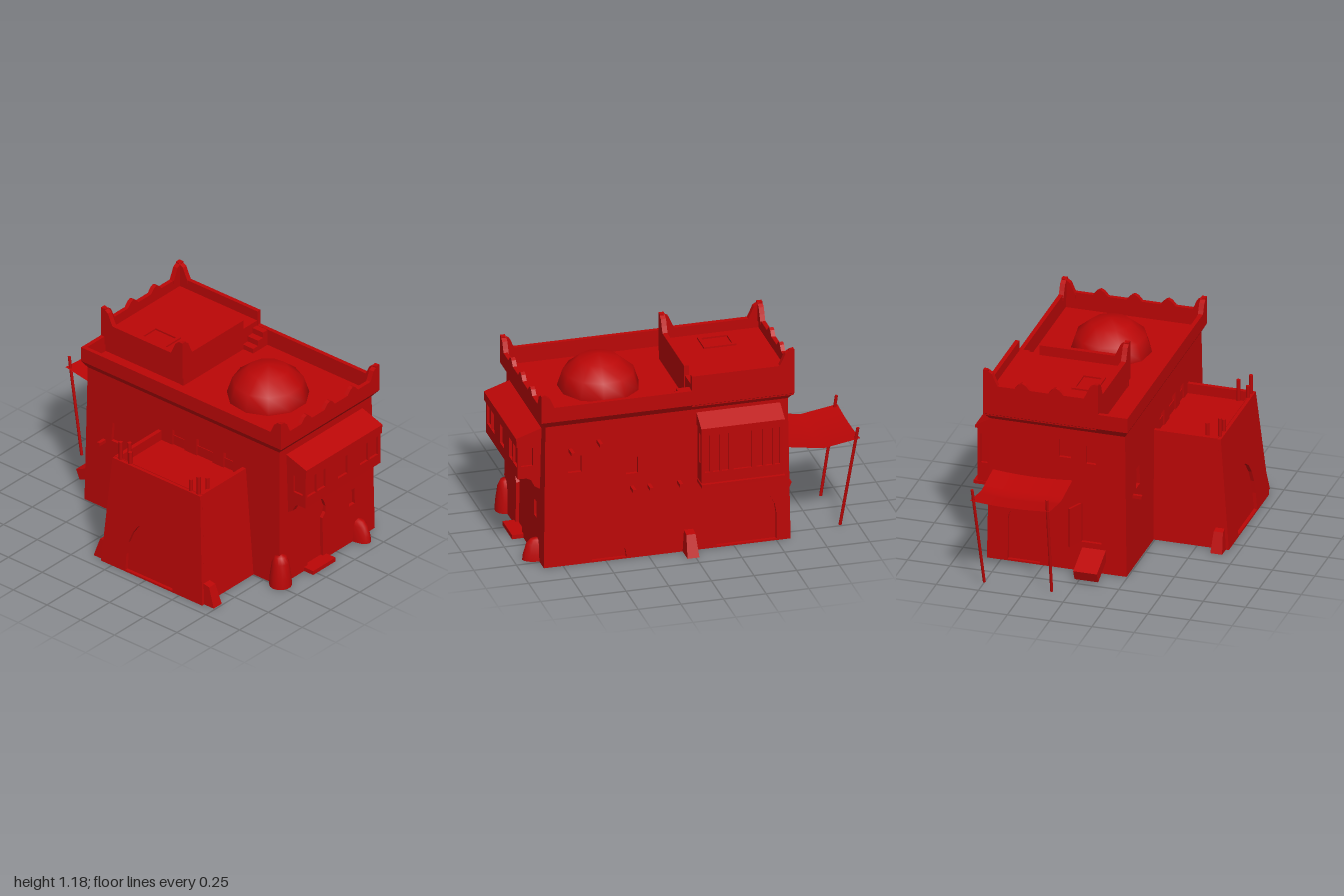
import * as THREE from 'three';

const red = new THREE.MeshStandardMaterial({ color: 0xba0606, side: THREE.DoubleSide });

function add(parent, name, geometry) {
  const mesh = new THREE.Mesh(geometry, red);
  mesh.name = name;
  parent.add(mesh);
  return mesh;
}
const box = (x0, x1, y0, y1, z0, z1) =>
  new THREE.BoxGeometry(x1 - x0, y1 - y0, z1 - z0).translate((x0 + x1) / 2, (y0 + y1) / 2, (z0 + z1) / 2);
const toPoints = (pts) => pts.map(([a, b]) => new THREE.Vector2(a, b));

// Plate in the xy plane with its face at z, thickness going back
function plate(pts, holes, depth, z = 0) {
  const shape = new THREE.Shape(toPoints(pts));
  for (const h of holes) shape.holes.push(new THREE.Path(toPoints(h)));
  return new THREE.ExtrudeGeometry(shape, { depth, bevelEnabled: false }).translate(0, 0, z - depth);
}
// Lean a plate backwards as it rises
function lean(geometry, slope) {
  const p = geometry.attributes.position;
  for (let i = 0; i < p.count; i++) p.setZ(i, p.getZ(i) - slope * p.getY(i));
  geometry.computeVertexNormals();
  return geometry;
}
// Side profile of [z, y] points, swept along x
function prism(pts, x0, x1) {
  return new THREE.ExtrudeGeometry(new THREE.Shape(toPoints(pts)), { depth: x1 - x0, bevelEnabled: false })
    .rotateY(-Math.PI / 2).translate(x1, 0, 0);
}
// Skin through rectangles [x0, x1, z0, z1, y]; sides 0-3 are front, right, back, left
function rectLoft(sections, sides = [0, 1, 2, 3]) {
  const pos = [];
  const ring = ([x0, x1, z0, z1, y]) => [[x0, y, z1], [x1, y, z1], [x1, y, z0], [x0, y, z0]];
  for (let i = 0; i + 1 < sections.length; i++) {
    const a = ring(sections[i]), b = ring(sections[i + 1]);
    for (const k of sides) {
      const n = (k + 1) % 4;
      pos.push(...a[k], ...a[n], ...b[n], ...a[k], ...b[n], ...b[k]);
    }
  }
  const g = new THREE.BufferGeometry();
  g.setAttribute('position', new THREE.Float32BufferAttribute(pos, 3));
  g.computeVertexNormals();
  return g;
}
// Openings
const rect = (u0, u1, y0, y1, slant = 0) => [[u0, y0], [u1, y0], [u1 - slant, y1], [u0 + slant, y1]];
function arch(u0, u1, y0, spring, top) {
  const pts = [[u0, y0], [u1, y0]];
  for (let i = 0; i <= 10; i++) {
    const a = (Math.PI * i) / 10;
    pts.push([(u0 + u1) / 2 + ((u1 - u0) / 2) * Math.cos(a), spring + (top - spring) * Math.sin(a)]);
  }
  return pts;
}
// Wedge buttress with a steep front, narrowing slightly towards its top
function buttress(w, h, d) {
  const g = prism([[-0.05, 0], [d, 0], [d * 0.55, h * 0.92], [0, h], [-0.05, h]], -w / 2, w / 2);
  const p = g.attributes.position;
  for (let i = 0; i < p.count; i++) p.setX(i, p.getX(i) * (1 - (0.25 * p.getY(i)) / h));
  g.computeVertexNormals();
  return g;
}
// Rounded, cone-like buttress
const mound = (r, h) => new THREE.LatheGeometry(
  toPoints([[r, 0], [r * 0.95, h * 0.3], [r * 0.76, h * 0.75], [r * 0.5, h * 0.94], [0, h]]), 14);
// Curved horn standing on both walls of a parapet corner
function horn(parent, x, y, z, sx, sz) {
  const profile = [[0, -0.02], [0.085, -0.02], [0.085, 0], [0.068, 0.035], [0.052, 0.072], [0.022, 0.09], [0, 0.094]];
  const t = 0.03;
  add(parent, 'cornerHorn', plate(profile.map(([a, b]) => [x + sx * a, y + b]), [], t, sz > 0 ? z + t : z));
  add(parent, 'cornerHorn', prism(profile.map(([a, b]) => [z + sz * a, y + b]), Math.min(x, x + sx * t), Math.max(x, x + sx * t)));
}
function merlon(parent, x, y, z) {
  add(parent, 'merlon', prism([[z - 0.05, y - 0.01], [z + 0.05, y - 0.01], [z + 0.045, y], [z + 0.02, y + 0.028], [z, y + 0.038], [z - 0.02, y + 0.028], [z - 0.045, y]], x, x + 0.025));
}
// Closed balcony on a wall whose face lies at z = f
function balcony(parent, f, u0, u1, y0, eave, top, depth, windows, sideWin) {
  const g = new THREE.Group();
  g.name = 'enclosedBalcony';
  add(g, 'balconyFront', plate(rect(u0, u1, y0, eave), windows, 0.02, f + depth));
  add(g, 'balconyCore', box(u0 + 0.015, u1 - 0.015, y0, eave, f - 0.02, f + depth - 0.015));
  for (const u of [u0, u1 - 0.02])
    add(g, 'balconySide', plate(rect(f - 0.02, f + depth, y0, eave), [sideWin], 0.02)
      .rotateY(-Math.PI / 2).translate(u, 0, 0));
  add(g, 'balconyRoof', prism([[f - 0.02, top], [f, top], [f + depth + 0.012, eave], [f + depth + 0.012, eave - 0.015], [f - 0.02, eave - 0.015]], u0 - 0.005, u1 + 0.005));
  parent.add(g);
}
// Slightly battered house wall
const BATTER = 0.013;
function wall(parent, name, turn, f, u0, u1, holes) {
  const g = new THREE.Group();
  g.name = name;
  g.rotation.y = turn;
  const outline = [[u0 - BATTER, 0], [u1 + BATTER, 0], [u1, 0.88], [u0, 0.88]];
  add(g, name + 'Face', lean(plate(outline, holes, 0.022, f + BATTER), BATTER / 0.88));
  parent.add(g);
  return g;
}

export function createModel() {
  const model = new THREE.Group();
  model.name = 'adobeHouse';

  // Hollow core behind the wall openings, joined to the annex
  const annexOpening = rect(-0.05, 0.61, 0.005, 0.57);
  add(model, 'core', rectLoft([[-0.563, 0.843, -0.563, 0.223, 0], [-0.55, 0.83, -0.55, 0.21, 0.88]], [1, 2, 3]));
  add(model, 'coreFront', lean(plate([[-0.563, 0], [0.843, 0], [0.83, 0.88], [-0.55, 0.88]], [annexOpening], 0.002, 0.223), BATTER / 0.88));

  // Front wall
  const front = wall(model, 'frontWall', 0, 0.23, -0.57, 0.85, [
    annexOpening, rect(-0.39, -0.31, 0.46, 0.58, 0.008), rect(0.06, 0.15, 0.6, 0.71), rect(0.24, 0.36, 0.6, 0.72), rect(0.44, 0.51, 0.6, 0.71)]);
  add(front, 'beamEnd', box(-0.45, -0.43, 0.43, 0.45, 0.215, 0.29));

  // Right wall: keyhole door, step, window, balcony on brackets
  const keyhole = [[0, 0.01], [0.135, 0.01], [0.135, 0.27], [0.16, 0.3], [0.162, 0.34], [0.145, 0.385], [0.11, 0.42],
    [0.07, 0.44], [0.03, 0.42], [-0.005, 0.385], [-0.025, 0.34], [-0.022, 0.3], [0, 0.27]];
  const right = wall(model, 'rightWall', Math.PI / 2, 0.85, -0.23, 0.57, [keyhole, rect(0.365, 0.415, 0.24, 0.34, 0.004)]);
  add(right, 'doorStep', box(-0.03, 0.165, 0, 0.025, 0.845, 0.93));
  balcony(right, 0.85, -0.165, 0.485, 0.525, 0.78, 0.83, 0.138,
    [[-0.145, -0.07], [-0.06, 0.01], [0.12, 0.2], [0.31, 0.38], [0.39, 0.465]].map(([a, b]) => rect(a, b, 0.59, 0.71)),
    rect(0.9, 0.97, 0.6, 0.71));
  add(right, 'balconyEave', box(-0.17, 0.49, 0.725, 0.78, 0.9, 0.998));
  for (const u of [-0.145, 0.05, 0.275, 0.465])
    add(right, 'bracket', prism([[0.835, 0.45], [0.86, 0.45], [0.89, 0.47], [0.91, 0.51], [0.95, 0.53], [0.835, 0.53]], u - 0.016, u + 0.016));
  const sideMound = add(right, 'buttress', mound(0.05, 0.13));
  sideMound.position.set(0.44, 0, 0.855);
  sideMound.scale.z = 1.9;

  // Back wall: two arches, windows, beams, tall balcony
  const back = wall(model, 'backWall', Math.PI, 0.57, -0.85, 0.57, [
    arch(0.15, 0.5, 0.01, 0.17, 0.35), arch(-0.58, -0.38, 0.01, 0.03, 0.12),
    rect(-0.72, -0.64, 0.57, 0.67), rect(-0.38, -0.31, 0.52, 0.62)]);
  const slats = [0.07, 0.125, 0.18, 0.38, 0.435, 0.49].map((u) => rect(u - 0.02, u + 0.02, 0.51, 0.74));
  balcony(back, 0.57, 0.04, 0.52, 0.44, 0.79, 0.85, 0.09, [...slats, rect(0.225, 0.335, 0.51, 0.74)], rect(0.6, 0.64, 0.56, 0.74));
  add(back, 'balconyBase', box(0.035, 0.525, 0.425, 0.445, 0.56, 0.68));
  for (const [x, y] of [[0.705, 0.71], [0.54, 0.745], [0.345, 0.435], [0.245, 0.435], [0.07, 0.435]])
    add(back, 'beamEnd', box(-x - 0.01, -x + 0.01, y - 0.01, y + 0.01, 0.555, 0.635));
  add(back, 'buttress', buttress(0.07, 0.135, 0.115)).position.set(-0.015, 0, 0.57);

  // Left wall: windows, hatch with open shutter over a trough, doorway under the awning
  const left = wall(model, 'leftWall', -Math.PI / 2, 0.57, -0.57, 0.23, [
    rect(-0.16, -0.09, 0.69, 0.8), rect(0, 0.06, 0.67, 0.78), rect(-0.025, 0.095, 0.18, 0.42), arch(-0.46, -0.27, 0.01, 0.26, 0.35)]);
  const shutter = add(left, 'openShutter', box(-0.006, 0.006, 0.18, 0.42, 0, 0.1));
  shutter.position.set(-0.03, 0, 0.575);
  shutter.rotation.y = -0.42;
  const trough = add(model, 'leaningTrough', box(-0.1, 0.1, -0.033, 0.033, -0.07, 0.07));
  trough.position.set(-0.645, 0.083, 0.05);
  trough.rotation.z = 0.4;

  // Awning: sagging cloth on two leaning poles
  const cloth = new THREE.PlaneGeometry(0.43, 0.47, 8, 6).rotateX(-Math.PI / 2);
  const cp = cloth.attributes.position;
  for (let i = 0; i < cp.count; i++) {
    const u = cp.getX(i) / 0.215, v = cp.getZ(i) / 0.235;
    cp.setY(i, -0.035 * (1 - Math.abs(u)) - 0.012 * (1 - v * v));
  }
  cloth.computeVertexNormals();
  add(model, 'awningCloth', cloth).position.set(-0.785, 0.555, -0.315);
  for (const [z, tilt] of [[-0.52, -0.07], [-0.1, 0]]) {
    const pole = add(model, 'awningPole', new THREE.CylinderGeometry(0.009, 0.009, 0.62, 6));
    pole.position.set(-0.943, 0.313, z);
    pole.rotation.set(tilt, 0, 0.15);
  }

  add(model, 'cornerButtress', mound(0.065, 0.2)).position.set(0.855, 0, 0.225);

  // Cornice, parapet and roof floor
  add(model, 'parapet', rectLoft([
    [-0.57, 0.85, -0.57, 0.23, 0.87], [-0.6, 0.883, -0.6, 0.253, 0.91], [-0.6, 0.883, -0.6, 0.253, 1],
    [-0.575, 0.858, -0.575, 0.228, 1], [-0.575, 0.858, -0.575, 0.228, 0.9], [0.1, 0.1, -0.2, -0.2, 0.9]]));
  horn(model, 0.883, 0.985, 0.253, -1, -1);
  horn(model, 0.883, 0.985, -0.6, -1, 1);
  for (const z of [0.03, -0.17, -0.37]) merlon(model, 0.858, 1, z);

  // Raised roof room with its own parapet, hatch and stairs
  const room = new THREE.Group();
  room.name = 'roofRoom';
  add(room, 'roomBlock', box(-0.598, -0.002, 0.9, 1.03, -0.598, 0.068));
  add(room, 'roomParapet', box(-0.6, 0.003, 0.95, 1.09, 0.05, 0.08));
  add(room, 'roomParapet', box(-0.6, 0, 0.95, 1.09, -0.6, -0.575));
  add(room, 'roomParapet', box(-0.6, -0.575, 0.95, 1.09, -0.6, 0.07));
  add(room, 'roomParapet', box(-0.025, 0.003, 0.9, 1.09, -0.45, 0.07));
  horn(room, -0.6, 1.09, 0.08, 1, -1);
  horn(room, 0.003, 1.09, 0.08, -1, -1);
  horn(room, -0.6, 1.09, -0.6, 1, 1);
  for (const z of [-0.17, -0.37]) merlon(room, -0.6, 1.09, z);
  add(room, 'hatchFrame', plate(rect(-0.39, -0.2, 0, 0.145), [rect(-0.37, -0.22, 0.02, 0.125)], 0.02)
    .rotateX(-Math.PI / 2).translate(0, 1.04, 0));
  for (let i = 0; i < 3; i++)
    add(room, 'stair', box(-0.01, 0.075, 0.89, 0.93 + 0.034 * i, -0.58, -0.45 - 0.043 * i));
  model.add(room);

  // Dome
  const dome = add(model, 'dome', new THREE.SphereGeometry(0.235, 11, 3, 0, Math.PI * 2, 0, Math.PI / 2));
  dome.scale.y = 0.83;
  dome.position.set(0.425, 0.9, -0.17);

  // Front annex with leaning walls, arched recess and roof posts
  const annex = new THREE.Group();
  annex.name = 'annex';
  add(annex, 'annexWalls', rectLoft([[-0.08, 0.67, 0.22, 0.668, 0], [-0.045, 0.605, 0.22, 0.609, 0.67]], [0, 1, 3]));
  add(annex, 'annexRoof', rectLoft([
    [-0.045, 0.605, 0.22, 0.609, 0.67], [-0.02, 0.58, 0.225, 0.605, 0.67],
    [-0.02, 0.58, 0.225, 0.605, 0.61], [0.28, 0.28, 0.4, 0.4, 0.61]]));
  add(annex, 'annexFront', lean(plate([[-0.08, 0], [0.67, 0], [0.605, 0.667], [-0.045, 0.667]],
    [arch(0.1, 0.45, 0.01, 0.11, 0.36)], 0.025, 0.688), 0.088));
  for (const [corner, inward] of [[0, 0.07], [0.578, -0.058]])
    for (const [x, z, h] of [[corner, 0.61, 0.78], [corner, 0.535, 0.74], [corner + inward, 0.61, 0.74]])
      add(annex, 'roofPost', new THREE.CylinderGeometry(0.012, 0.012, h - 0.6, 8)).position.set(x, (h + 0.6) / 2, z);
  for (const s of [-1, 1]) {
    const b = add(annex, 'buttress', buttress(0.07, 0.13, 0.09));
    b.position.set(0.295 + s * 0.355, 0, 0.635);
    b.rotation.y = (s * Math.PI) / 2;
  }
  model.add(annex);
  return model;
}
